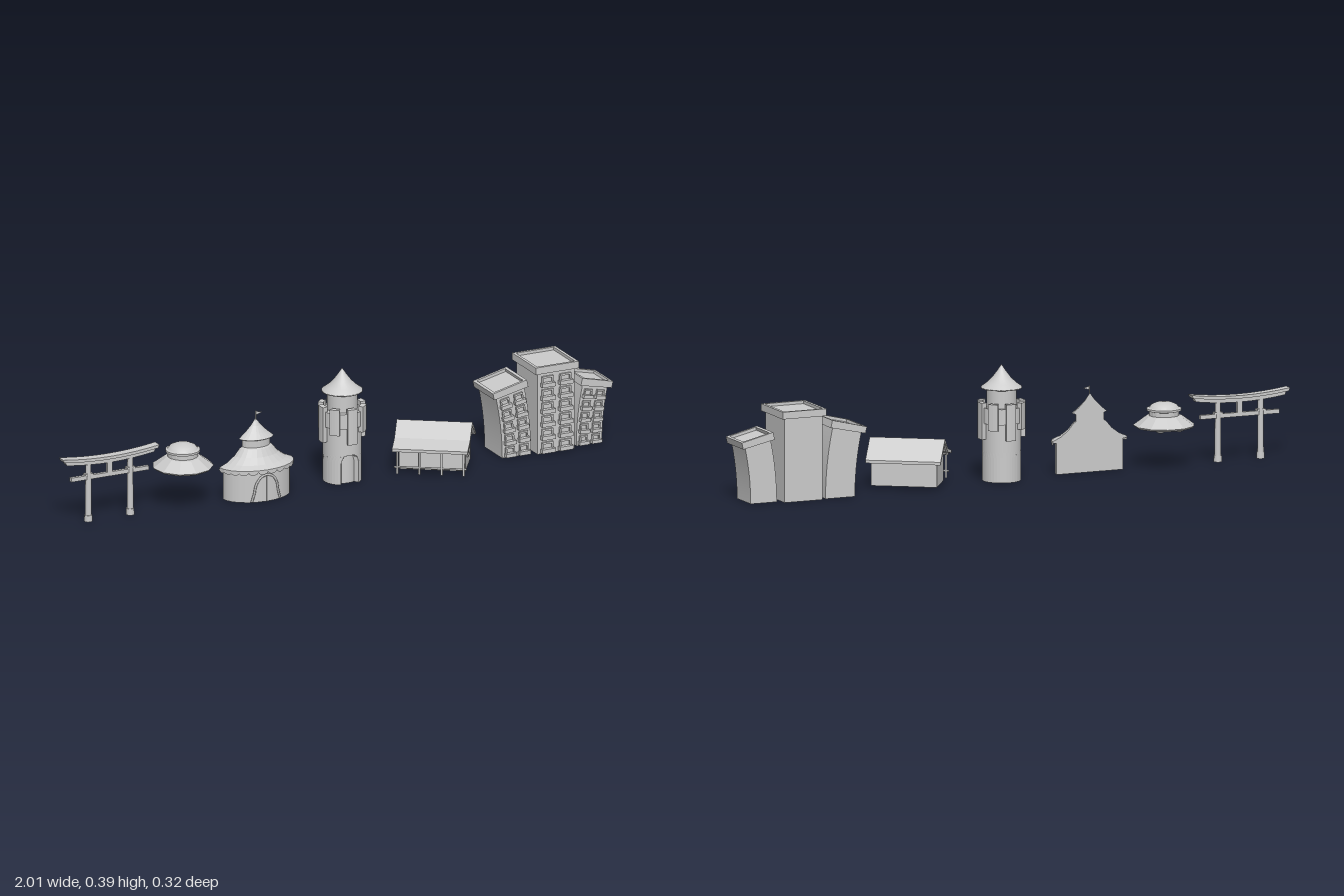
import * as THREE from 'three';
import { mergeGeometries } from 'three/addons/utils/BufferGeometryUtils.js';

const grey = new THREE.MeshStandardMaterial({ color: 0xcccccc, side: THREE.DoubleSide });
const flat = new THREE.MeshStandardMaterial({ color: 0xcccccc, side: THREE.DoubleSide, flatShading: true });

function add(parent, name, geo, x = 0, y = 0, z = 0, mat = flat) {
  const m = new THREE.Mesh(geo, mat);
  m.name = name;
  m.position.set(x, y, z);
  parent.add(m);
  return m;
}
function group(parent, name, x, z) {
  const g = new THREE.Group();
  g.name = name;
  g.position.set(x, 0, z);
  parent.add(g);
  return g;
}
const box = (w, h, d) => new THREE.BoxGeometry(w, h, d);
const cyl = (rt, rb, h, n = 12) => new THREE.CylinderGeometry(rt, rb, h, n);
const v2 = (pts) => pts.map(([x, y]) => new THREE.Vector2(x, y));
const lathe = (pts, n, start, len) => new THREE.LatheGeometry(v2(pts), n, start, len);
const extrude = (shape, depth) =>
  new THREE.ExtrudeGeometry(shape, { depth, bevelEnabled: false, curveSegments: 8 });

// Upright ring sector; angles are measured from +z
function sector(rIn, rOut, y0, y1, a0, a1, n = 12) {
  const pts = [];
  for (let i = 0; i <= n; i++) {
    const a = a0 + ((a1 - a0) * i) / n;
    pts.push([rOut * Math.sin(a), -rOut * Math.cos(a)]);
  }
  for (let i = n; i >= 0; i--) {
    const a = a0 + ((a1 - a0) * i) / n;
    pts.push([rIn * Math.sin(a), -rIn * Math.cos(a)]);
  }
  return extrude(new THREE.Shape(v2(pts)), y1 - y0).rotateX(-Math.PI / 2).translate(0, y0, 0);
}

// Gate: two posts, a tie beam and curved lintels
function gate(root) {
  const g = group(root, 'gate', -0.823, -0.04);
  const lintel = (half, low, y, thick, depth) => {
    const s = new THREE.Shape();
    s.moveTo(-half, y + 0.014);
    s.quadraticCurveTo(0, y - 0.012, half, y + 0.014);
    s.lineTo(low, y + 0.012 - thick);
    s.quadraticCurveTo(0, y - 0.012 - thick, -low, y + 0.012 - thick);
    return extrude(s, depth).translate(0, 0, -depth / 2);
  };
  add(g, 'roofLintel', lintel(0.177, 0.172, 0.217, 0.009, 0.032));
  add(g, 'lowerLintel', lintel(0.168, 0.16, 0.208, 0.013, 0.02));
  add(g, 'tieBeam', box(0.285, 0.014, 0.012), 0, 0.153, 0);
  add(g, 'strut', box(0.018, 0.04, 0.012), 0, 0.177, 0);
  for (const s of [-1, 1]) {
    add(g, 'post', cyl(0.0095, 0.011, 0.2), s * 0.077, 0.1, 0, grey);
    add(g, 'postFoot', cyl(0.013, 0.014, 0.022), s * 0.077, 0.011, 0, grey);
    add(g, 'wedge', box(0.03, 0.006, 0.018), s * 0.077, 0.163, 0);
  }
}

// Flying saucer
function saucer(root) {
  const g = group(root, 'saucer', -0.55, -0.045);
  add(g, 'hull', lathe([[0, 0.132], [0.095, 0.132], [0.102, 0.139], [0.06, 0.17], [0.05, 0.172]], 11));
  add(g, 'collar', lathe([[0.05, 0.168], [0.05, 0.186], [0.058, 0.188], [0.058, 0.195], [0.05, 0.198]], 20));
  add(g, 'dome', lathe([[0.05, 0.197], [0.042, 0.207], [0.026, 0.214], [0, 0.217]], 20), 0, 0, 0, grey);
  for (let i = 0; i < 6; i++) {
    const r = i ? 0.058 : 0, a = (i * Math.PI * 2) / 5;
    const bump = add(g, 'lamp', new THREE.SphereGeometry(0.018, 12, 8), r * Math.sin(a), 0.133, r * Math.cos(a), grey);
    bump.scale.y = 0.7;
  }
}

// Half-round tent with a flat back
function tent(root) {
  const g = group(root, 'tent', -0.285, -0.04);
  const wall = [[0.12, 0], [0.12, 0.105]];
  const roof = [[0.133, 0.105], [0.133, 0.112], [0.105, 0.124], [0.078, 0.144], [0.058, 0.168],
    [0.05, 0.172], [0.05, 0.196], [0.062, 0.2], [0.04, 0.218], [0.018, 0.24], [0, 0.265]];
  const half = (name, pts, mat) => {
    add(g, name, lathe(pts, 12, -Math.PI / 2, Math.PI), 0, 0, 0, mat).scale.z = 0.7;
  };
  half('wall', wall, grey);
  half('roof', roof, flat);
  half('eaveUnderside', [[0.118, 0.105], [0.133, 0.105]], flat);
  half('floor', [[0, 0], [0.12, 0]], flat);
  const outline = wall.concat(roof);
  const mirrored = outline.slice(0, -1).reverse().map(([x, y]) => [-x, y]);
  add(g, 'back', new THREE.ShapeGeometry(new THREE.Shape(v2(outline.concat(mirrored)))));
  // Scalloped valance
  for (let i = 0; i < 12; i++) {
    const a = -Math.PI / 2 + ((i + 0.5) * Math.PI) / 12;
    const s = add(g, 'scallop', new THREE.CircleGeometry(0.016, 8, Math.PI, Math.PI),
      0.131 * Math.sin(a), 0.106, 0.092 * Math.cos(a));
    s.rotation.y = Math.atan2(0.7 * Math.sin(a), Math.cos(a));
    s.scale.y = 0.6;
  }
  // Entrance curtains and hem following the round wall
  const onWall = (x, y) => new THREE.Vector3(x, y, 0.7 * Math.sqrt(0.0146 - x * x));
  for (const s of [-1, 1]) {
    const path = [[0, 0.094], [0.022, 0.085], [0.038, 0.06], [0.044, 0.03], [0.052, 0.002]];
    const curve = new THREE.CatmullRomCurve3(path.map(([x, y]) => onWall(s * x, y)));
    add(g, 'curtain', new THREE.TubeGeometry(curve, 14, 0.004, 6), 0, 0, 0, grey);
  }
  add(g, 'entranceSeam', box(0.003, 0.09, 0.004), 0, 0.045, 0.084);
  add(g, 'flagPole', cyl(0.002, 0.002, 0.035, 6), 0, 0.272, 0.002);
  add(g, 'flag', new THREE.ShapeGeometry(new THREE.Shape(v2([[0, 0], [0.024, -0.006], [0, -0.014]]))), 0, 0.288, 0.002);
}

// Round tower with an arched doorway
function tower(root) {
  const g = group(root, 'tower', 0.037, -0.047);
  const r = 0.064, tau = Math.PI * 2;
  const layers = [0, 0.068, 0.076, 0.084, 0.091, 0.097, 0.101];
  for (let i = 0; i < layers.length - 1; i++) {
    const rise = Math.max(0, (layers[i] - 0.068) / 0.033);
    const gap = Math.asin((0.032 * Math.sqrt(1 - rise * rise)) / r);
    add(g, 'lowerWall', sector(0.044, r, layers[i], layers[i + 1], gap, tau - gap, 32), 0, 0, 0, grey);
  }
  add(g, 'door', cyl(0.046, 0.046, 0.101, 24), 0, 0.0505, 0, grey);
  add(g, 'upperWall', cyl(r, r, 0.145, 32), 0, 0.1735, 0, grey);
  add(g, 'parapet', sector(0.06, 0.071, 0.195, 0.247, 0, tau, 32), 0, 0, 0, grey);
  for (let i = 0; i < 8; i++) {
    const a = (i * tau) / 8, low = i % 2 ? 0.175 : 0.142;
    add(g, 'battlement', sector(0.062, 0.08, low, 0.264, a - 0.22, a + 0.22, 4));
  }
  add(g, 'neck', cyl(0.05, 0.05, 0.07, 24), 0, 0.275, 0, grey);
  add(g, 'spire', lathe([[0, 0.308], [0.068, 0.308], [0.068, 0.312], [0.05, 0.325], [0.031, 0.343], [0.014, 0.366], [0, 0.387]], 24), 0, 0, 0, grey);
}

// Cabin with a porch, turned to one side
function cabin(root) {
  const g = group(root, 'cabin', 0.353, -0.004);
  g.rotation.y = -0.588;
  const along = (pts, len) =>
    extrude(new THREE.Shape(v2(pts)), len).rotateY(-Math.PI / 2).translate(len / 2, 0, 0);
  add(g, 'walls', along([[-0.09, 0.01], [0.043, 0.01], [0.043, 0.105], [-0.02, 0.147], [-0.09, 0.096]], 0.22));
  add(g, 'roof', along([[-0.108, 0.088], [-0.108, 0.098], [-0.02, 0.16], [0.042, 0.117], [0.108, 0.1],
    [0.108, 0.09], [0.04, 0.105], [-0.02, 0.147]], 0.251));
  for (const [z, y] of [[-0.075, 0.102], [-0.05, 0.12], [0.0, 0.129], [0.022, 0.113], [0.04, 0.1]])
    add(g, 'purlin', cyl(0.004, 0.004, 0.238, 8).rotateZ(Math.PI / 2), 0, y, z);
  // Porch
  for (const x of [-0.11, -0.037, 0.037, 0.11])
    add(g, 'porchPost', cyl(0.0035, 0.004, 0.082, 8), x, 0.051, 0.092, grey);
  for (const [y, len] of [[0.033, 0.24], [0.089, 0.235]])
    add(g, 'porchRail', cyl(0.0035, 0.0035, len, 8).rotateZ(Math.PI / 2), 0, y, 0.092, grey);
  add(g, 'frontDoor', box(0.035, 0.075, 0.006), 0.03, 0.05, 0.044);
  add(g, 'frontWindow', box(0.045, 0.035, 0.006), -0.045, 0.065, 0.044);
  // Shuttered gable window
  const w = group(g, 'gableWindow', 0.111, -0.02);
  for (const s of [-1, 1]) {
    add(w, 'shutter', box(0.007, 0.042, 0.012), 0, 0.07, s * 0.027);
    add(w, 'frameRail', box(0.008, 0.005, 0.044), 0, 0.07 + s * 0.021, 0);
    add(w, 'frameStile', box(0.008, 0.042, 0.004), 0, 0.07, s * 0.016);
  }
  add(w, 'mullion', box(0.006, 0.042, 0.003), 0, 0.07, 0);
}

// Tower block; bend is the angle reached at the top, leaning to either side
function block(root, name, x, zBack, zFront, w, h, rows, bend) {
  const depth = zFront - zBack;
  const g = group(root, name, x, (zBack + zFront) / 2);
  const curve = (geo) => {
    if (!bend) return geo;
    const p = geo.attributes.position, R = h / bend;
    for (let i = 0; i < p.count; i++) {
      const a = p.getY(i) / R, q = R - p.getX(i);
      p.setXY(i, R - q * Math.cos(a), q * Math.sin(a));
    }
    geo.computeVertexNormals();
    return geo;
  };
  add(g, 'body', curve(new THREE.BoxGeometry(w, h - 0.02, depth, 1, 10, 1).translate(0, (h - 0.02) / 2, 0)), 0, 0, 0, grey);
  // Roof slab with a raised rim
  const W = w / 2 + 0.011, D = depth / 2 + 0.01;
  const rect = (a, b) => v2([[-a, -b], [a, -b], [a, b], [-a, b]]);
  const rim = new THREE.Shape(rect(W, D));
  rim.holes.push(new THREE.Path(rect(W - 0.01, D - 0.01)));
  add(g, 'roofRim', curve(extrude(rim, 0.024).rotateX(-Math.PI / 2).translate(0, h - 0.024, 0)));
  add(g, 'roofDeck', curve(box(2 * W - 0.01, 0.012, 2 * D - 0.01).translate(0, h - 0.016, 0)));
  // Windows with sills and lintels
  const step = (h - 0.03) / rows, ww = w * 0.3, parts = [], z = depth / 2;
  for (let r = 0; r < rows; r++)
    for (const s of [-1, 1]) {
      const cx = s * w * 0.24, cy = (r + 0.5) * step;
      parts.push(box(ww + 0.008, step * 0.3, 0.018).translate(cx, cy - step * 0.26, z + 0.006));
      parts.push(box(ww, step * 0.14, 0.01).translate(cx, cy + step * 0.3, z + 0.002));
      for (const k of [-1, 1])
        parts.push(box(0.005, step * 0.6, 0.01).translate(cx + k * (ww / 2 - 0.002), cy, z + 0.001));
    }
  add(g, 'windows', curve(mergeGeometries(parts)));
}

export function createModel() {
  const root = new THREE.Group();
  root.name = 'landmarkRow';
  gate(root);
  saucer(root);
  tent(root);
  tower(root);
  cabin(root);
  block(root, 'middleBlock', 0.79, -0.135, 0.02, 0.136, 0.305, 6, 0);
  block(root, 'innerBlock', 0.654, -0.127, 0.003, 0.106, 0.25, 5, -0.24);
  block(root, 'outerBlock', 0.922, -0.11, 0.0, 0.094, 0.224, 5, 0.24);
  return root;
}
